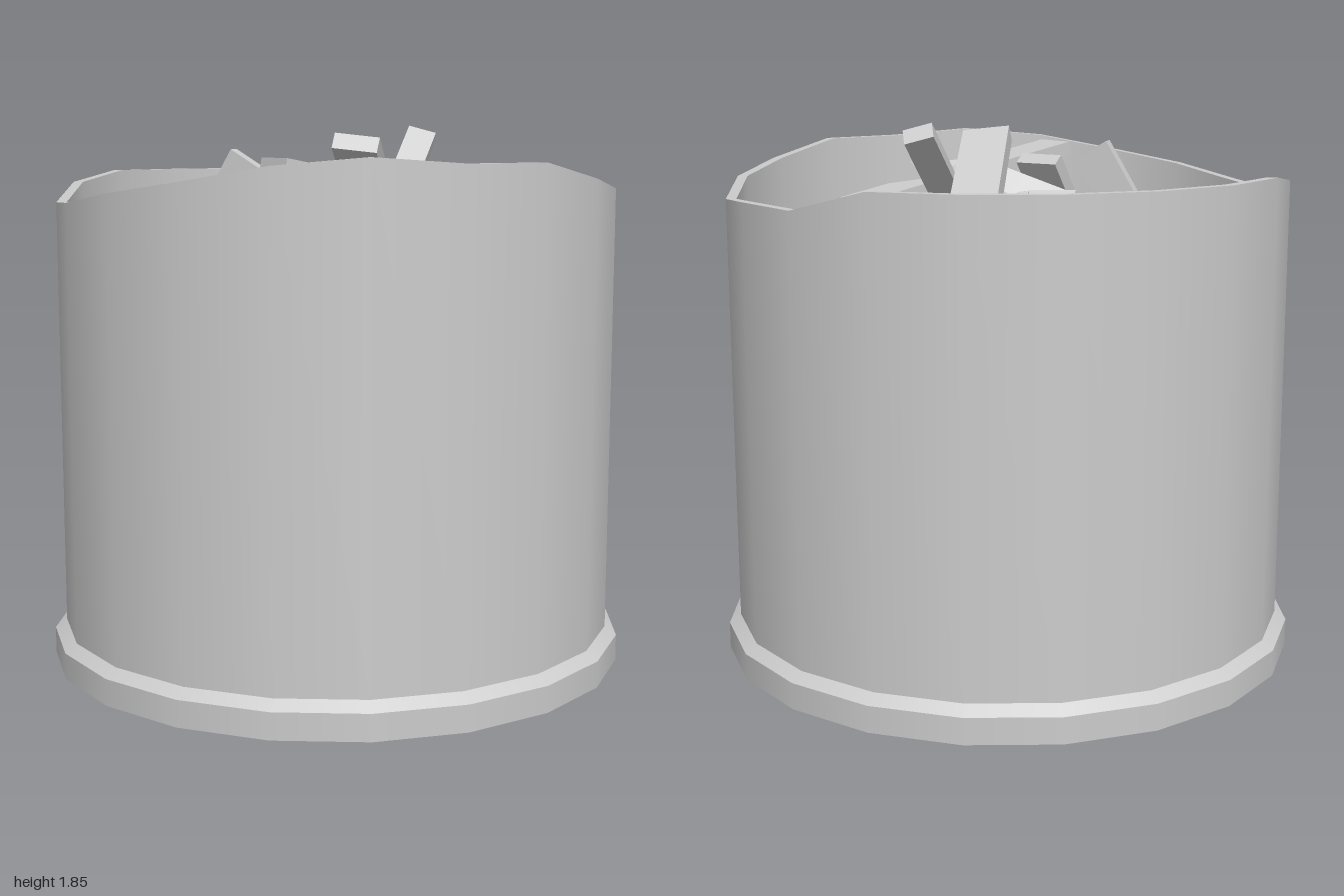
import * as THREE from 'three';

const SIDES = 20;
// Rim heights every 18 degrees, from +x towards +z
const RIM = [1.64, 1.68, 1.735, 1.735, 1.755, 1.73, 1.68, 1.64, 1.6, 1.59,
  1.65, 1.685, 1.685, 1.685, 1.685, 1.685, 1.685, 1.61, 1.61, 1.59];

const material = new THREE.MeshStandardMaterial({ color: 0xcccccc, side: THREE.DoubleSide });

function add(parent, name, geometry) {
  const mesh = new THREE.Mesh(geometry, material);
  mesh.name = name;
  parent.add(mesh);
  return mesh;
}

// One smooth band of the container between two profile points
function band(parent, name, from, to) {
  const geo = new THREE.LatheGeometry([new THREE.Vector2(...from), new THREE.Vector2(...to)], SIDES);
  const p = geo.attributes.position;
  for (let i = 0; i < p.count; i++) {
    if (p.getY(i) < 1.5) continue;
    const k = Math.round(Math.atan2(p.getZ(i), p.getX(i)) / (Math.PI * 2 / SIDES));
    p.setY(i, RIM[(k + SIDES) % SIDES]);
  }
  add(parent, name, geo);
}

// Heaped contents: a lathe hill with gentle lumps
function moundGeometry() {
  const profile = new THREE.SplineCurve([[0.93, 1.06], [0.84, 1.09], [0.74, 1.18], [0.6, 1.35],
    [0.42, 1.49], [0.2, 1.57], [0, 1.6]].map(([r, y]) => new THREE.Vector2(r, y)));
  const points = profile.getPoints(24);
  points[24].x = 0;
  const geo = new THREE.LatheGeometry(points, 40);
  const p = geo.attributes.position;
  for (let i = 0; i < p.count; i++) {
    const x = p.getX(i), z = p.getZ(i), r = Math.hypot(x, z);
    const fade = r * Math.max(0, 1 - r / 0.93);
    p.setY(i, p.getY(i) + 0.16 * fade * Math.sin(4 * Math.atan2(z, x) + 5 * r));
  }
  geo.computeVertexNormals();
  return geo;
}

// Plank between two points; waist narrows its thickness or width along the length
function plank(parent, { from, to, width, thick, roll = 0, waist = 0, taper = 0 }) {
  const a = new THREE.Vector3(...from), b = new THREE.Vector3(...to);
  const dir = b.clone().sub(a);
  const length = dir.length();
  dir.normalize();
  const side = new THREE.Vector3(0, 1, 0).cross(dir).normalize();
  const up = dir.clone().cross(side);
  const geo = new THREE.BoxGeometry(width, thick, length, 1, 1, waist ? 10 : 1);
  const p = geo.attributes.position;
  const bendWidth = width > thick;
  for (let i = 0; i < p.count; i++) {
    const t = p.getZ(i) / length + 0.5;
    const s = 1 - waist * Math.sin(Math.PI * t) ** 2 - taper * (1 - t);
    if (bendWidth) p.setX(i, p.getX(i) * s);
    else p.setY(i, (p.getY(i) - thick / 2) * s + thick / 2);
  }
  geo.computeVertexNormals();
  geo.rotateZ(roll);
  geo.applyMatrix4(new THREE.Matrix4().makeBasis(side, up, dir).setPosition(a.add(b).multiplyScalar(0.5)));
  add(parent, 'plank', geo);
}

export function createModel() {
  const model = new THREE.Group();
  model.name = 'containerWithScrapWood';

  // Foot ring and recessed underside
  const base = new THREE.Group();
  base.name = 'base';
  band(base, 'underside', [0, 0.025], [0.94, 0.025]);
  band(base, 'recessWall', [0.94, 0.025], [0.94, 0]);
  band(base, 'footUnderside', [0.94, 0], [1, 0]);
  band(base, 'footSide', [1, 0], [1, 0.09]);
  band(base, 'footBevel', [1, 0.09], [0.96, 0.12]);

  // Wall with an uneven cut rim
  const wall = new THREE.Group();
  wall.name = 'wall';
  band(wall, 'outerWall', [0.96, 0.12], [0.96, 1.7]);
  band(wall, 'rim', [0.96, 1.7], [0.925, 1.7]);
  band(wall, 'innerWall', [0.925, 1.7], [0.925, 1]);
  model.add(base, wall);

  add(model, 'mound', moundGeometry());

  // Scrap wood stuck into the mound
  const wood = new THREE.Group();
  wood.name = 'scrapWood';
  [
    { from: [0.04, 1.4, -0.72], to: [0.07, 1.79, 0], width: 0.16, thick: 0.06, roll: -0.12 },
    { from: [0.22, 1.55, -0.22], to: [0.5, 1.42, -0.57], width: 0.18, thick: 0.05 },
    { from: [0.19, 1.55, -0.02], to: [0.25, 1.815, -0.32], width: 0.1, thick: 0.06, roll: 0.35 },
    { from: [0.5, 1.56, -0.2], to: [-0.12, 1.72, 0.42], width: 0.16, thick: 0.05 },
    { from: [0.6, 1.2, 0.54], to: [0.23, 1.67, 0.16], width: 0.16, thick: 0.05 },
    { from: [-0.73, 1.33, -0.16], to: [0.07, 1.6, 0.0], width: 0.05, thick: 0.2, roll: 0.75, waist: 0.55 },
    { from: [-0.26, 1.22, -0.77], to: [-0.17, 1.6, -0.15], width: 0.16, thick: 0.05, waist: 0.5, taper: 0.6 },
    { from: [0.72, 1.25, -0.01], to: [0.31, 1.66, 0.03], width: 0.05, thick: 0.1 },
    { from: [-0.5, 1.36, 0.08], to: [-0.28, 1.735, 0.12], width: 0.05, thick: 0.13 },
    { from: [-0.18, 1.42, 0.33], to: [-0.09, 1.7, 0.14], width: 0.16, thick: 0.05 },
    { from: [0.18, 1.36, 0.51], to: [0.1, 1.6, 0.4], width: 0.11, thick: 0.05 },
    { from: [-0.55, 1.2, -0.62], to: [-0.64, 1.4, -0.47], width: 0.15, thick: 0.06 },
    { from: [-0.44, 1.1, 0.76], to: [-0.31, 1.35, 0.57], width: 0.13, thick: 0.06, roll: 0.3 },
  ].forEach((spec) => plank(wood, spec));
  model.add(wood);

  return model;
}
